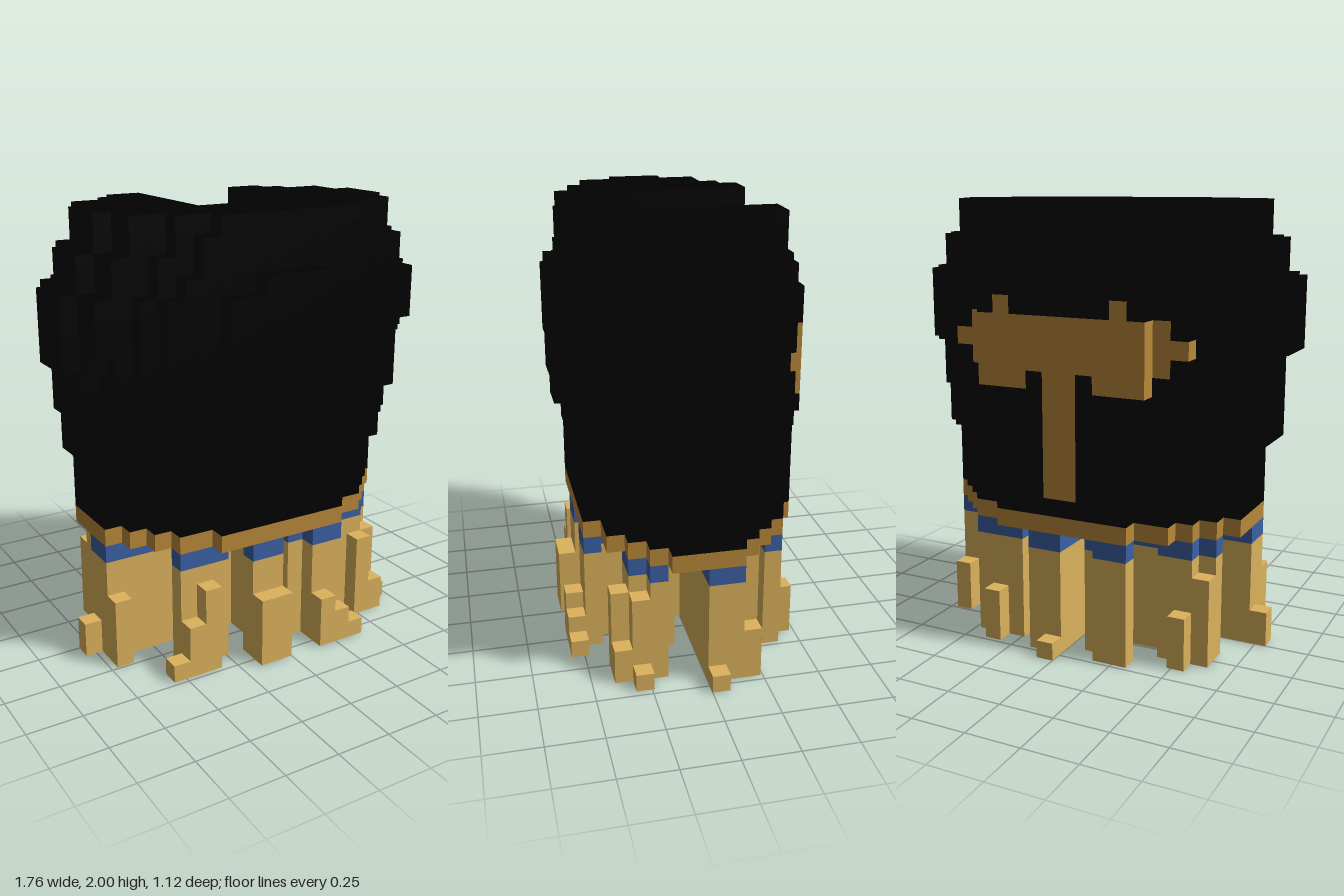
import * as THREE from 'three';

const V = 0.08; // edge of one block

const mats = {
  black: new THREE.MeshStandardMaterial({ name: 'black', color: 0x010101 }),
  leather: new THREE.MeshStandardMaterial({ name: 'leather', color: 0xb8883a }),
  blue: new THREE.MeshStandardMaterial({ name: 'blue', color: 0x3a60a4 }),
  tan: new THREE.MeshStandardMaterial({ name: 'tan', color: 0xdcb25c }),
};

// Half widths in blocks of each z row, from the back row z = -6 to the front row z = 5
const WAIST = [4, 6, 7, 8, 9, 9, 9, 9, 8, 7, 6, 4];
const CHEST = [5, 7, 9, 10, 10, 11, 11, 11, 10, 10, 8, 7];
const TOP = [3, 5, 6, 8, 8, 9, 9, 9, 8, 8, 6, 4];

// Flared strip ends: x, z, width in x, height (blocks)
const FLARES = [
  [-6, 5, 1, 3], [-5, 5, 1, 5], [-7, 5, 1, 1], [-2, 6, 2, 4], [2, 6, 1, 3], [3, 6, 1, 2], [4, 6, 1, 1],
  [6, 4, 1, 5], [7, 3, 1, 5], [7, 4, 1, 2], [8, 3, 1, 1], [9, -1, 1, 1], [8, -3, 1, 3],
  [-10, 0, 1, 2], [-9, 2, 1, 4], [0, -7, 1, 1], [4, -6, 1, 3], [-7, -5, 1, 3], [-8, -4, 1, 5],
];

export function createModel() {
  const cells = new Map();
  const key = (x, y, z) => `${x},${y},${z}`;
  const block = (part, x0, x1, y0, y1, z0, z1) => {
    for (let x = x0; x < x1; x++)
      for (let y = y0; y < y1; y++)
        for (let z = z0; z < z1; z++) cells.set(key(x, y, z), { part, x, y, z });
  };
  const slab = (part, rows, y0, y1) =>
    rows.forEach((h, i) => block(part, -h, h, y0, y1, i - 6, i - 5));

  // torso: widens from waist to chest, then rounds in to the shoulders
  const blend = (a, b, t) => a.map((h, i) => Math.round(h + (b[i] - h) * THREE.MathUtils.clamp(t, 0, 1)));
  for (let y = 8; y < 25; y++) {
    const rows = y < 20 ? blend(WAIST, CHEST, (y - 9) / 10) : blend(CHEST, TOP, (y - 19.6) * 0.225);
    if (y > 21) rows[0] = 0;
    slab('torso', rows, y, y + 1);
  }

  // raised chest, narrowing downwards
  [[14, 15, 1], [15, 17, 3], [17, 21, 4], [21, 22, 2]].forEach(([y0, y1, h]) =>
    block('torso', -h, h, y0, y1, 6, 7));

  // neck opening, open towards the back
  for (let x = -3; x < 3; x++)
    for (let y = 23; y < 25; y++)
      for (let z = -6; z < 2; z++) cells.delete(key(x, y, z));

  // back straps set into the torso
  block('backStraps', -5, 5, 16, 19, -6, -5);
  block('backStraps', -1, 1, 9, 16, -6, -5);
  for (const s of [0, 1]) {
    const bar = (a, b, ...r) => (s ? block('backStraps', -b, -a, ...r) : block('backStraps', a, b, ...r));
    bar(2, 5, 15, 16, -6, -5);
    bar(3, 4, 19, 20, -6, -5);
    bar(5, 6, 16, 19, -5, -4);
    bar(6, 7, 17, 18, -5, -4);
  }

  // belt
  slab('belt', WAIST, 7, 8);

  // skirt: ten wedge-shaped strips with equal gaps, each with a blue top band
  WAIST.forEach((h, i) => {
    const z = i - 6;
    for (let x = -h; x < h; x++) {
      const sector = Math.floor(Math.atan2(x + 0.5, z + 0.5) / (Math.PI / 10));
      if (sector % 2 === 0) continue;
      block('skirtStrips', x, x + 1, 0, 6, z, z + 1);
      block('skirtBand', x, x + 1, 6, 7, z, z + 1);
    }
  });
  FLARES.forEach(([x, z, w, h]) => block('skirtStrips', x, x + w, 0, h, z, z + 1));

  // turn the exposed block faces of one part into a mesh
  const build = (part, material) => {
    const pos = [], nor = [], idx = [];
    for (const c of cells.values()) {
      if (c.part !== part) continue;
      const p = [c.x, c.y, c.z];
      for (let a = 0; a < 3; a++) {
        for (const s of [-1, 1]) {
          const n = [0, 0, 0];
          n[a] = s;
          if (cells.has(key(p[0] + n[0], p[1] + n[1], p[2] + n[2]))) continue;
          const u = (a + 1) % 3, v = (a + 2) % 3, b = pos.length / 3;
          for (const [du, dv] of [[0, 0], [1, 0], [1, 1], [0, 1]]) {
            const q = [...p];
            q[a] += s > 0 ? 1 : 0;
            q[u] += du;
            q[v] += dv;
            pos.push(q[0] * V, q[1] * V, q[2] * V);
            nor.push(...n);
          }
          idx.push(...(s > 0 ? [b, b + 1, b + 2, b, b + 2, b + 3] : [b, b + 2, b + 1, b, b + 3, b + 2]));
        }
      }
    }
    const g = new THREE.BufferGeometry();
    g.setAttribute('position', new THREE.Float32BufferAttribute(pos, 3));
    g.setAttribute('normal', new THREE.Float32BufferAttribute(nor, 3));
    g.setIndex(idx);
    const mesh = new THREE.Mesh(g, material);
    mesh.name = part;
    return mesh;
  };

  const model = new THREE.Group();
  model.name = 'blockArmour';
  model.add(
    build('torso', mats.black),
    build('backStraps', mats.leather),
    build('belt', mats.leather),
    build('skirtBand', mats.blue),
    build('skirtStrips', mats.tan),
  );
  return model;
}
